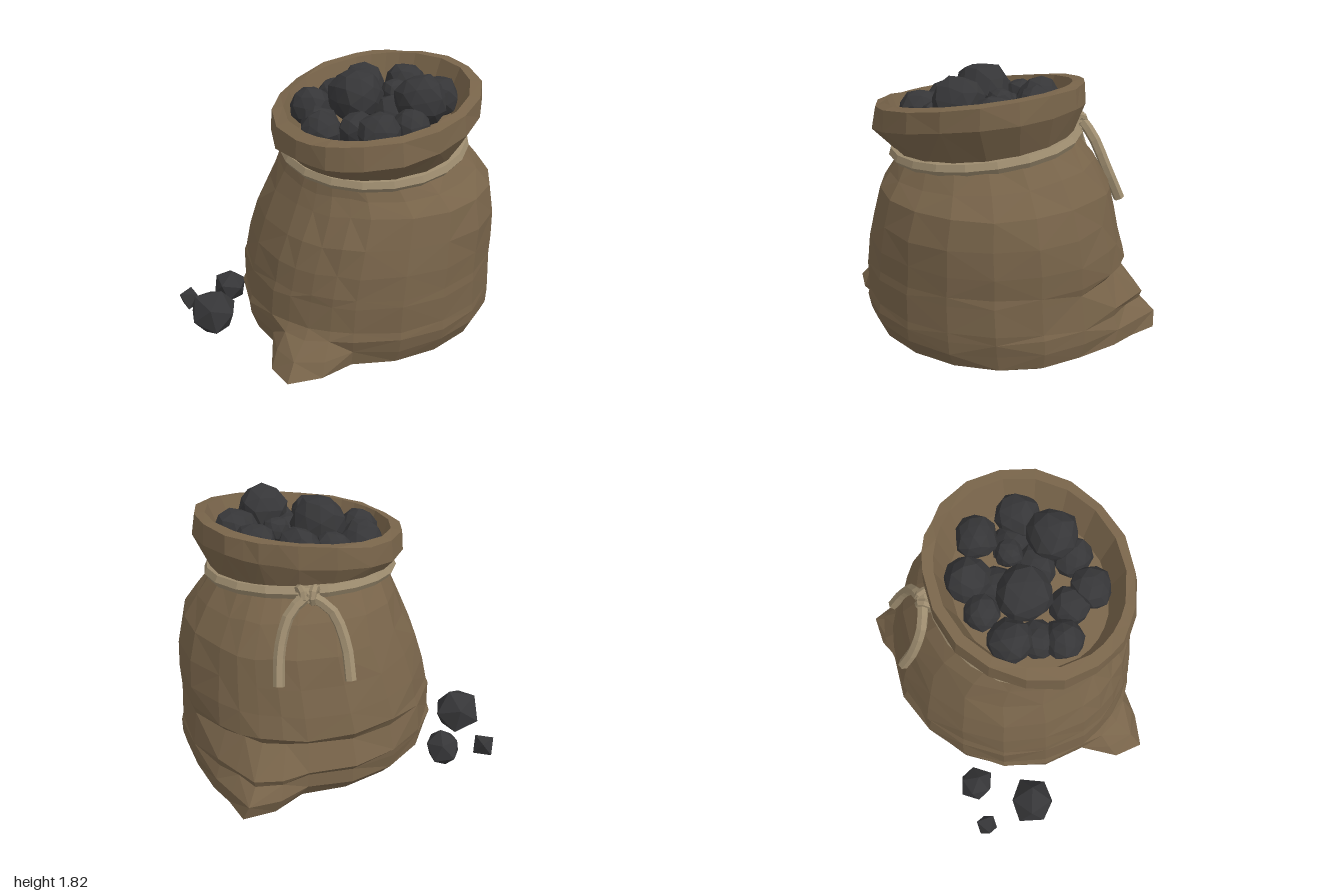
import * as THREE from 'three';

const rad = THREE.MathUtils.degToRad;

function rng(seed) {
  return () => {
    seed = (seed * 16807) % 2147483647;
    return seed / 2147483647;
  };
}

// Faceted normals
function flat(geo) {
  const g = geo.index ? geo.toNonIndexed() : geo;
  g.computeVertexNormals();
  return g;
}

// Angles around the sack, denser at the two pulled-out bottom corners
const ANGLES = [3, 23, 43, 63, 83, 103, 123, 143, 153, 163, 173, 183, 203, 223, 243, 263, 283, 303, 313, 323, 332, 343];
const LEFT_CORNER = { 153: 0.17, 163: 0.3, 173: 0.21 };
const RIGHT_CORNER = { 313: 0.17, 323: 0.28, 332: 0.15, 343: 0.08 };

// Per ring, from the ground up: how far each corner is pulled, and the creases
const LEFT_PULL = [0.75, 1, 0.62, 0.15, 0.03];
const RIGHT_PULL = [0.8, 1, 0.85, 0.55, 0.4, 0.12, 0.06];
const CREASE = [0, 0, 0, -0.03, 0.02, -0.045, 0.02];

// y, centre x, centre z, radius x, radius z
const RINGS = [
  [0.005, 0.1, 0.09, 0.74, 0.62],
  [0.08, 0.1, 0.1, 0.85, 0.76],
  [0.18, 0.1, 0.08, 0.865, 0.83],
  [0.27, 0.1, 0.08, 0.87, 0.845],
  [0.32, 0.1, 0.08, 0.865, 0.845],
  [0.5, 0.1, 0.085, 0.845, 0.835],
  [0.55, 0.105, 0.09, 0.84, 0.83],
  [0.7, 0.12, 0.1, 0.825, 0.82],
  [0.87, 0.135, 0.12, 0.79, 0.79],
  [1.05, 0.16, 0.13, 0.73, 0.74],
  [1.19, 0.13, 0.135, 0.66, 0.65],
  [1.33, 0.08, 0.15, 0.59, 0.54],
  [1.5, 0.06, 0.19, 0.7, 0.65],
  [1.635, 0.06, 0.19, 0.69, 0.635],
  [1.645, 0.06, 0.19, 0.615, 0.575],
  [1.41, 0.05, 0.18, 0.53, 0.49],
];
const SHOULDER = 10, NECK = 11;

// The sack leans: shoulder and neck tilt back, the mouth tilts sideways
function tilt(k) {
  if (k < SHOULDER) return [0, 0];
  if (k === SHOULDER) return [0.04, -0.06];
  return k === NECK ? [0.08, -0.1] : [0.16, -0.02];
}

function sackGeometry() {
  const rand = rng(77);
  const n = ANGLES.length;
  const pos = [];
  const idx = [];
  RINGS.forEach(([y, cx, cz, rx, rz], k) => {
    const wobble = k > 1 && k !== NECK && k < 14 ? 0.02 : 0;
    const [tx, tz] = tilt(k);
    for (const a of ANGLES) {
      const c = Math.cos(rad(a)), s = Math.sin(rad(a));
      const creased = Math.max(0, Math.cos(rad((a - 312) * 1.4))) * (a > 250 ? 1 : 0);
      const extra = (LEFT_CORNER[a] || 0) * (LEFT_PULL[k] || 0)
        + (RIGHT_CORNER[a] || 0) * (RIGHT_PULL[k] || 0)
        + creased * (CREASE[k] || 0) + (rand() - 0.5) * wobble;
      const x = c * (rx + extra), z = s * (rz + extra);
      pos.push(cx + x, y + x * tx + z * tz + (rand() - 0.5) * wobble, cz + z);
    }
  });
  for (let k = 0; k < RINGS.length - 1; k++) {
    for (let j = 0; j < n; j++) {
      const a = k * n + j, b = k * n + (j + 1) % n, c = b + n, d = a + n;
      if ((j + k) % 2) idx.push(a, d, c, a, c, b);
      else idx.push(a, d, b, d, c, b);
    }
  }
  // Base and inner floor
  const base = pos.length / 3, last = (RINGS.length - 1) * n;
  pos.push(0.1, 0.005, 0.09, 0.05, 1.41, 0.18);
  for (let j = 0; j < n; j++) {
    const m = (j + 1) % n;
    idx.push(base, j, m, base + 1, last + m, last + j);
  }
  const g = new THREE.BufferGeometry();
  g.setAttribute('position', new THREE.Float32BufferAttribute(pos, 3));
  g.setIndex(idx);
  return flat(g);
}

// Rough lump: the same corner always moves the same way, so faces stay joined
function lumpGeometry(r, detail, seed) {
  const g = new THREE.IcosahedronGeometry(r, detail);
  const p = g.attributes.position;
  const v = new THREE.Vector3();
  for (let i = 0; i < p.count; i++) {
    v.fromBufferAttribute(p, i);
    const q = v.clone().divideScalar(r);
    v.multiplyScalar(1 + 0.07 * Math.sin(q.x * 7 + q.y * 11 + q.z * 5 + seed * 2.3));
    p.setXYZ(i, v.x, v.y, v.z);
  }
  return flat(g);
}

export function createModel() {
  const cloth = new THREE.MeshStandardMaterial({ color: 0x78644a });
  cloth.name = 'brown sackcloth';
  const cord = new THREE.MeshStandardMaterial({ color: 0x9c8b6e });
  cord.name = 'pale rope';
  const coal = new THREE.MeshStandardMaterial({ color: 0x363638 });
  coal.name = 'coal black';

  const model = new THREE.Group();
  model.name = 'coalSack';
  const add = (name, geo, mat, parent = model) => {
    const mesh = new THREE.Mesh(geo, mat);
    mesh.name = name;
    parent.add(mesh);
    return mesh;
  };

  add('sack', sackGeometry(), cloth);

  // Rope around the neck
  const rope = new THREE.Group();
  rope.name = 'rope';
  model.add(rope);
  const loop = [];
  for (let i = 0; i < 16; i++) {
    const a = (i / 16) * Math.PI * 2;
    const x = Math.cos(a) * 0.605, z = Math.sin(a) * 0.555;
    loop.push(new THREE.Vector3(0.08 + x, 1.325 + x * 0.08 - z * 0.11, 0.15 + z));
  }
  const ring = new THREE.CatmullRomCurve3(loop, true);
  add('neckRope', flat(new THREE.TubeGeometry(ring, 20, 0.044, 6, true)), cord, rope);

  // Knot: a core with wraps around it
  const knot = new THREE.Group();
  knot.name = 'knot';
  knot.position.set(0.4, 1.405, -0.385);
  knot.rotation.y = rad(-32);
  rope.add(knot);
  add('knotCore', flat(new THREE.IcosahedronGeometry(0.06, 0)), cord, knot);
  for (const side of [-1, 1]) {
    const wrap = add('knotWrap', flat(new THREE.TorusGeometry(0.045, 0.026, 6, 8)), cord, knot);
    wrap.position.x = side * 0.04;
    wrap.rotation.y = Math.PI / 2 + side * 0.35;
  }

  // Hanging rope ends
  const tails = [
    [[0.4, 1.41, -0.4], [0.3, 1.32, -0.49], [0.27, 1.12, -0.6], [0.3, 0.92, -0.69]],
    [[0.42, 1.41, -0.4], [0.53, 1.33, -0.39], [0.63, 1.13, -0.42], [0.69, 0.92, -0.49]],
  ];
  for (const t of tails) {
    const curve = new THREE.CatmullRomCurve3(t.map((p) => new THREE.Vector3(...p)));
    add('ropeEnd', flat(new THREE.TubeGeometry(curve, 7, 0.036, 6)), cord, rope);
    const cap = add('ropeEndCap', new THREE.CircleGeometry(0.036, 6), cord, rope);
    const end = curve.getPoint(1);
    cap.position.copy(end);
    cap.lookAt(end.clone().add(curve.getTangent(1)));
  }

  // Coal heaped in the sack: x, y, z, radius
  const heap = [
    [-0.02, 1.62, 0.08, 0.18], [0.17, 1.63, 0.45, 0.17], [-0.18, 1.53, -0.16, 0.14],
    [0.06, 1.55, -0.19, 0.115], [0.28, 1.57, -0.13, 0.15], [0.47, 1.59, 0.08, 0.135],
    [-0.36, 1.49, 0.11, 0.13], [0.25, 1.6, 0.17, 0.09], [-0.22, 1.48, 0.28, 0.13],
    [-0.21, 1.51, 0.45, 0.14], [0.43, 1.57, 0.38, 0.145], [0.03, 1.5, 0.5, 0.13],
    [0.12, 1.5, 0.27, 0.14], [-0.26, 1.47, -0.01, 0.12], [0.33, 1.49, 0.25, 0.13],
    [0.16, 1.48, 0.0, 0.14],
  ];
  heap.forEach(([x, y, z, r], i) => {
    const lump = add('coalLump', lumpGeometry(r, 1, i), coal);
    lump.position.set(x, y, z);
    lump.rotation.set(i * 1.3, i * 2.1, 0);
  });

  // Spilled coal on the ground
  const spilled = [[-0.84, 0.145, -0.48, 0.165], [-0.49, 0.11, -0.72, 0.125], [-0.765, 0.075, -0.835, 0.088]];
  spilled.forEach(([x, y, z, r], i) => {
    const geo = i === 2 ? flat(new THREE.OctahedronGeometry(r)) : lumpGeometry(r, 0, i);
    const lump = add('spilledCoal', geo, coal);
    lump.position.set(x, y, z);
    lump.rotation.set(0.4 + i * 0.2, 0.5 + i, 0.2);
  });

  return model;
}
